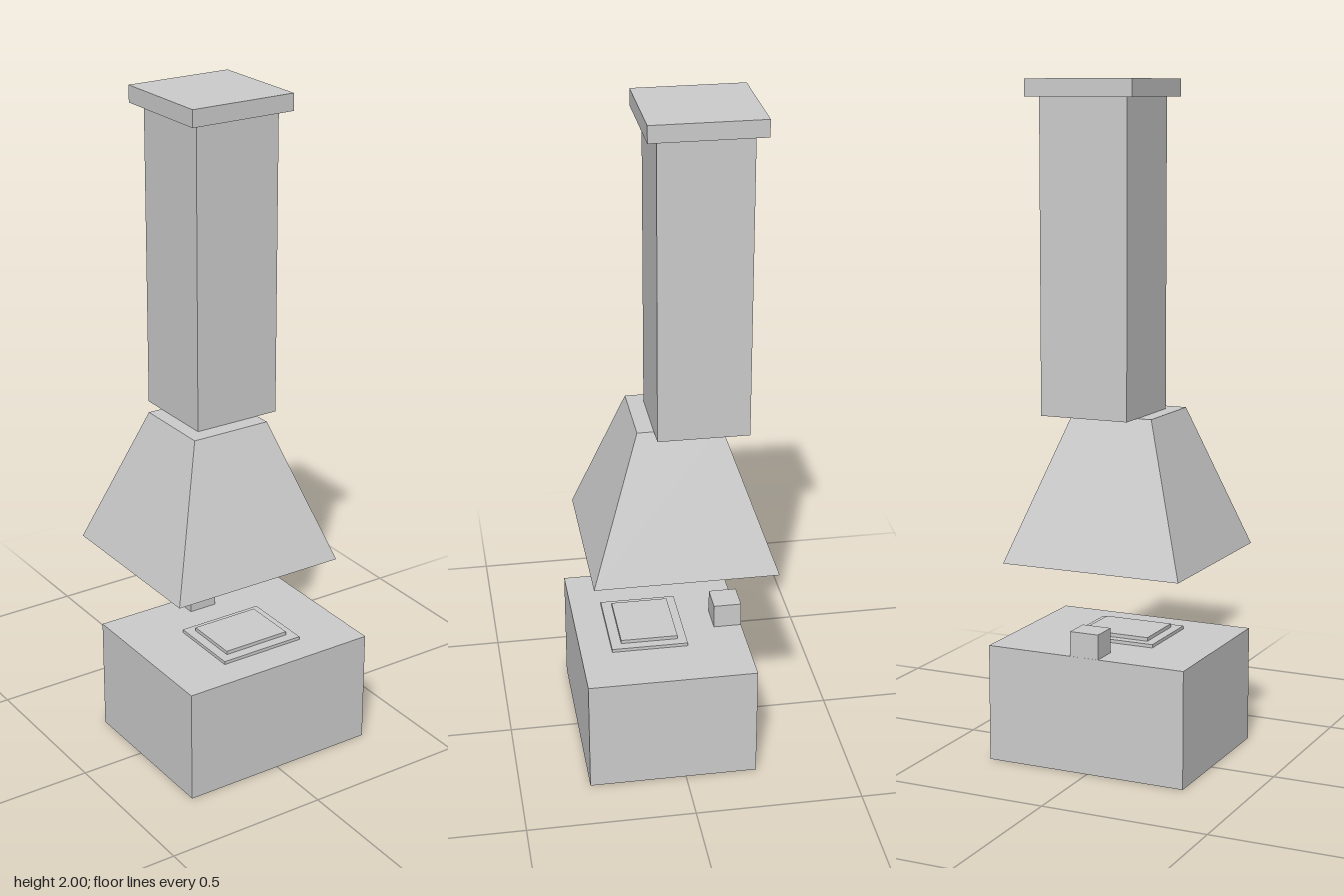
import * as THREE from 'three';

export function createModel() {
  const model = new THREE.Group();
  const grey = new THREE.MeshStandardMaterial({ color: 0xcccccc });
  grey.name = 'light grey';

  const add = (name, geometry, x, y, z) => {
    const mesh = new THREE.Mesh(geometry, grey);
    mesh.name = name;
    mesh.position.set(x, y, z);
    model.add(mesh);
  };

  // Box given by its centre in x and z, its size and its bottom and top heights
  const block = (name, x, z, width, depth, bottom, top) =>
    add(name, new THREE.BoxGeometry(width, top - bottom, depth), x, (bottom + top) / 2, z);

  // Cooking unit with a stepped hob and a rear control block
  block('base', 0.008, 0.038, 0.625, 0.505, 0, 0.35);
  block('hobLowerPlate', 0.008, 0.081, 0.27, 0.23, 0.35, 0.36);
  block('hobUpperPlate', 0.008, 0.079, 0.214, 0.172, 0.36, 0.371);
  block('rearBlock', 0.008, -0.172, 0.09, 0.084, 0.35, 0.424);

  // Extractor hood: a square frustum hanging above the base
  const hoodBottom = 0.625, hoodTop = 1.05;
  const hood = new THREE.CylinderGeometry(
    0.124 * Math.SQRT2, 0.2745 * Math.SQRT2, hoodTop - hoodBottom, 4
  ).rotateY(Math.PI / 4).toNonIndexed();
  hood.computeVertexNormals();
  add('hood', hood, -0.046, (hoodBottom + hoodTop) / 2, -0.0175);

  // Chimney shaft and its cap, set back from the hood
  block('chimney', 0.008, -0.078, 0.27, 0.27, 1.05, 1.95);
  block('chimneyCap', 0.008, -0.079, 0.33, 0.33, 1.95, 2);

  return model;
}
